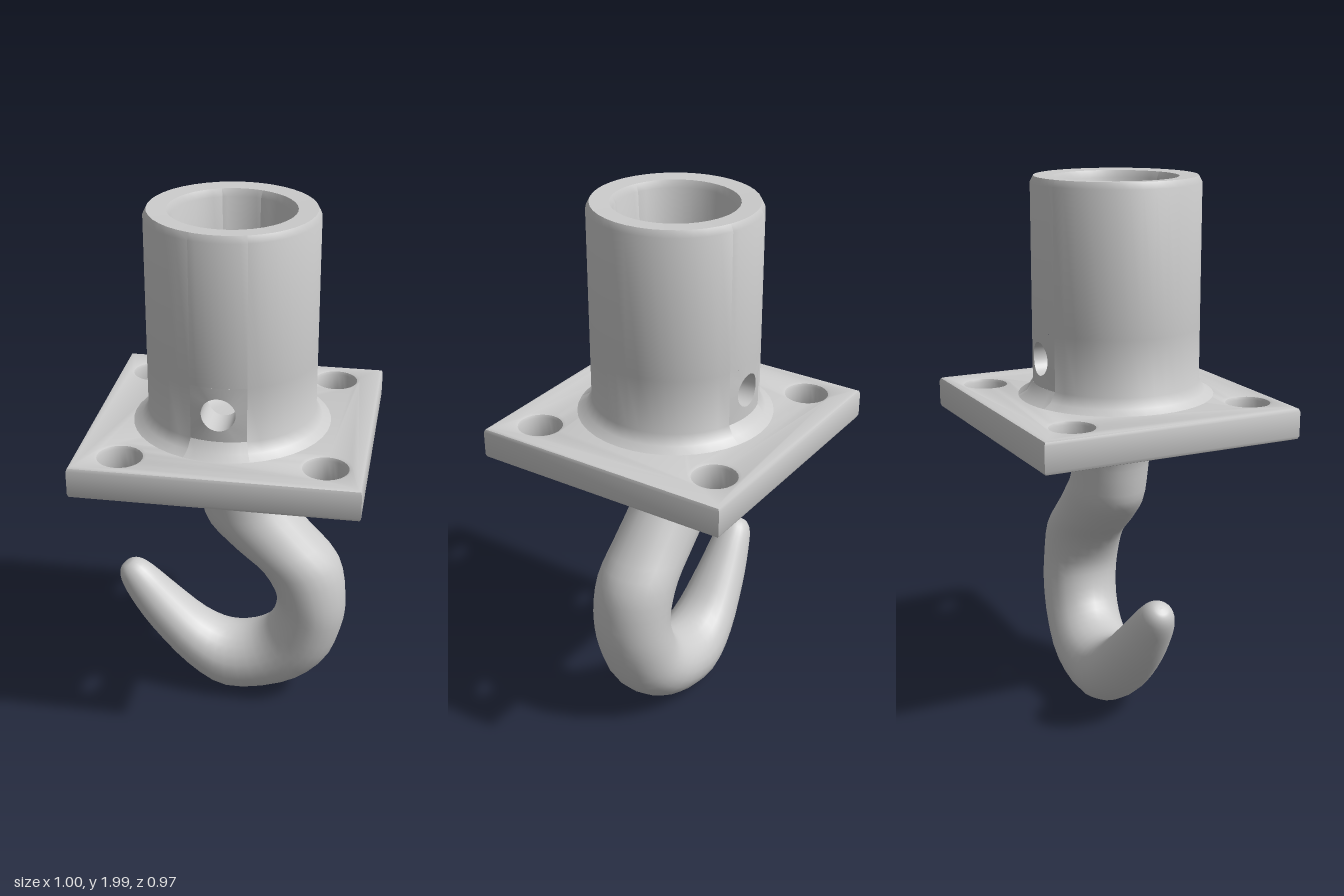
import * as THREE from 'three';
import { toCreasedNormals } from 'three/addons/utils/BufferGeometryUtils.js';

const material = new THREE.MeshStandardMaterial({ color: 0xcccccc });
const V = (x, y) => new THREE.Vector2(x, y);

function add(parent, name, geometry) {
  const mesh = new THREE.Mesh(geometry, material);
  mesh.name = name;
  parent.add(mesh);
  return mesh;
}

// Skin a list of closed cross-sections
function skin(rows) {
  const n = rows[0].length, index = [];
  for (let i = 0; i < rows.length - 1; i++) {
    for (let j = 0; j < n; j++) {
      const k = (j + 1) % n;
      const a = i * n + j, b = i * n + k, c = a + n, d = b + n;
      index.push(a, b, c, b, d, c);
    }
  }
  const g = new THREE.BufferGeometry();
  g.setAttribute('position', new THREE.Float32BufferAttribute(rows.flat(2), 3));
  g.setIndex(index);
  g.computeVertexNormals();
  return g;
}

// Square flange with four bolt holes
function makePlate() {
  const bevel = 0.015, w = 0.5 - bevel, d = 0.487 - bevel;
  const shape = new THREE.Shape([V(-w, -d), V(w, -d), V(w, d), V(-w, d)]);
  for (const [x, z] of [[-0.37, -0.33], [0.33, -0.365], [-0.34, 0.37], [0.365, 0.34]]) {
    shape.holes.push(new THREE.Path().absarc(x, -z, 0.076 + bevel, 0, Math.PI * 2, true));
  }
  const g = new THREE.ExtrudeGeometry(shape, {
    depth: 0.118 - 2 * bevel, bevelSize: bevel, bevelThickness: bevel, bevelSegments: 2, curveSegments: 12,
  });
  g.rotateX(-Math.PI / 2);
  g.translate(0, 1.1 + bevel, 0);
  return toCreasedNormals(g, 0.6);
}

// Hollow socket: lathed wall, left open around two pin holes that are patched in
function makeSocket() {
  const socket = new THREE.Group();
  socket.name = 'socket';
  const pinY = 1.37, half = 0.1, a = 0.33, pinR = 0.06, R = 0.302;
  const lo = pinY - half, hi = pinY + half;
  const bore = (y) => 0.175 + 0.035 * (y - lo) / (1.97 - lo);

  const base = [V(0.37, 1.21), V(0.325, 1.235), V(R, lo)];
  const rim = [V(R, hi), V(R, 1.975), V(0.29, 1.998), V(0.222, 1.995), V(0.21, 1.97), V(bore(hi), hi)];
  const floor = [V(bore(lo), lo), V(0.14, 1.235), V(0.08, 1.225), V(0, 1.225)];
  const lathe = (name, points, segments, start, length) =>
    add(socket, name, toCreasedNormals(new THREE.LatheGeometry(points, segments, start, length), 0.7));

  for (const turn of [0, Math.PI]) {
    lathe('socketWall', [...base, ...rim, ...floor], 16, turn + a, Math.PI - 2 * a);
    lathe('socketRim', rim, 8, turn - a, 2 * a);
    lathe('socketFoot', base, 8, turn - a, 2 * a);
    lathe('socketFloor', floor, 8, turn - a, 2 * a);

    // Curved panel with a round pin hole through the wall
    const n = 32;
    const ring = (radius, round) => Array.from({ length: n }, (_, j) => {
      const t = j / n * Math.PI * 2, c = Math.cos(t), s = Math.sin(t);
      const m = Math.max(Math.abs(c), Math.abs(s));
      const y = pinY + (round ? pinR * s : half * s / m);
      const r = radius(y);
      const angle = round ? Math.asin(pinR * c / r) : a * c / m;
      return [r * Math.sin(angle), y, r * Math.cos(angle)];
    });
    const outer = () => R;
    const panel = skin([ring(outer, false), ring(outer, true), ring(bore, true), ring(bore, false)]);
    add(socket, 'pinHole', toCreasedNormals(panel, 0.7)).rotation.y = turn;
  }
  socket.position.set(-0.008, 0, 0.012);
  return socket;
}

// Hook: paired inner and outer outline points, with depth and z offset
function makeHook() {
  const stations = [
    // inner x, y, outer x, y, half depth, z offset
    [-0.25, 1.105, 0.25, 1.105, 0.22, 0],
    [-0.175, 1.05, 0.185, 1.05, 0.165, 0],
    [-0.14, 0.98, 0.15, 0.97, 0.143, 0],
    [-0.125, 0.88, 0.175, 0.9, 0.14, 0],
    [-0.1, 0.79, 0.215, 0.85, 0.142, 0],
    [0, 0.69, 0.3, 0.755, 0.145, 0.005],
    [0.105, 0.6, 0.4, 0.635, 0.15, 0.008],
    [0.16, 0.5, 0.43, 0.475, 0.15, 0.008],
    [0.162, 0.42, 0.415, 0.33, 0.148, 0],
    [0.13, 0.34, 0.35, 0.175, 0.145, -0.01],
    [0.06, 0.287, 0.2, 0.053, 0.145, -0.025],
    [-0.03, 0.275, -0.025, 0.005, 0.14, -0.03],
    [-0.125, 0.315, -0.19, 0.095, 0.125, -0.03],
    [-0.24, 0.42, -0.335, 0.25, 0.1, -0.025],
    [-0.315, 0.495, -0.42, 0.38, 0.08, -0.02],
    [-0.365, 0.535, -0.458, 0.46, 0.06, -0.02],
    [-0.405, 0.545, -0.458, 0.505, 0.033, -0.02],
    [-0.435, 0.53, -0.435, 0.53, 0, -0.02],
  ];
  const curve = (pick) => new THREE.CatmullRomCurve3(
    stations.map((s) => new THREE.Vector3(...pick(s))), false, 'catmullrom', 0.5);
  const inner = curve((s) => [s[0], s[1], s[5]]);
  const outer = curve((s) => [s[2], s[3], s[5]]);
  const depth = curve((s) => [s[4], 0, 0]);
  const steps = (stations.length - 1) * 3, n = 24, rows = [];
  for (let i = 0; i <= steps; i++) {
    const t = i / steps, p = inner.getPoint(t), q = outer.getPoint(t);
    const centre = p.clone().add(q).multiplyScalar(0.5);
    const arm = q.sub(p).multiplyScalar(0.5), dz = Math.max(0, depth.getPoint(t).x);
    rows.push(Array.from({ length: n }, (_, j) => {
      const u = j / n * Math.PI * 2, c = Math.cos(u);
      return [centre.x + arm.x * c, centre.y + arm.y * c, centre.z + dz * Math.sin(u)];
    }));
  }
  return skin(rows);
}

export function createModel() {
  const model = new THREE.Group();
  model.name = 'socketHook';
  add(model, 'mountingPlate', makePlate());
  model.add(makeSocket());
  add(model, 'hook', makeHook());
  return model;
}
